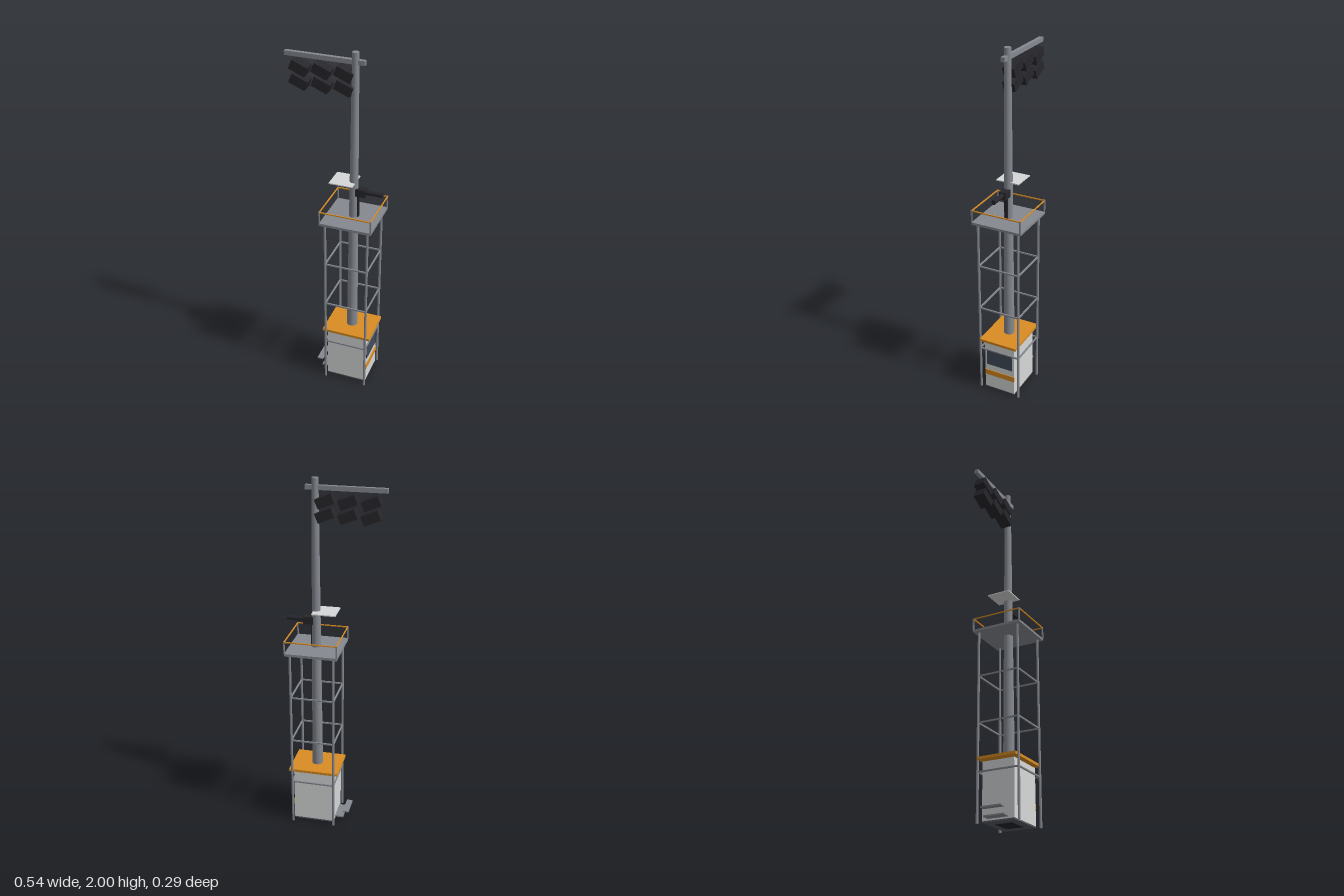
import * as THREE from 'three';

const mat = (name, color) => {
  const m = new THREE.MeshStandardMaterial({ color });
  m.name = name;
  return m;
};

export function createModel() {
  const metal = mat('grey metal', 0x858990);
  const orange = mat('safety orange', 0xd98c22);
  const white = mat('cabinet light grey', 0xd6d7d8);
  const black = mat('lamp black', 0x26262b);
  const glass = mat('window slate', 0x414c58);
  const dark = mat('base dark grey', 0x55585e);

  const model = new THREE.Group();
  model.name = 'lightTower';
  const CX = 0.105; // x of the tower axis

  const add = (name, geo, material, x, y, z, parent = model) => {
    const m = new THREE.Mesh(geo, material);
    m.name = name;
    m.position.set(x, y, z);
    parent.add(m);
    return m;
  };
  // box given by its extents
  const box = (name, material, x0, x1, y0, y1, z0, z1) =>
    add(name, new THREE.BoxGeometry(x1 - x0, y1 - y0, z1 - z0), material,
      (x0 + x1) / 2, (y0 + y1) / 2, (z0 + z1) / 2);
  // square ring of four bars around the axis
  const ring = (name, material, half, y, t) => {
    for (const s of [-1, 1]) {
      add(name, new THREE.BoxGeometry(half * 2, t, t), material, CX, y, s * half);
      add(name, new THREE.BoxGeometry(t, t, half * 2), material, CX + s * half, y, 0);
    }
  };

  // equipment cabinet with base, window and stripe on the +x face
  box('cabinetBase', dark, -0.01, 0.22, 0.002, 0.01, -0.093, 0.093);
  box('basePlate', black, CX - 0.06, CX + 0.06, 0, 0.004, -0.05, 0.05);
  box('cabinet', white, -0.012, 0.222, 0.01, 0.32, -0.093, 0.093);
  box('window', glass, 0.22, 0.226, 0.168, 0.262, -0.08, 0.08);
  box('stripe', orange, 0.22, 0.226, 0.095, 0.128, -0.093, 0.093);
  box('cabinetRoof', orange, CX - 0.141, CX + 0.141, 0.328, 0.343, -0.113, 0.113);

  // steps beside the cabinet
  box('lowerStep', metal, -0.06, -0.012, 0.019, 0.027, -0.06, 0.06);
  box('upperStep', metal, -0.092, -0.058, 0.058, 0.066, -0.06, 0.06);

  // frame: four legs and the brace rings
  for (const sx of [-1, 1]) for (const sz of [-1, 1]) {
    add('leg', new THREE.CylinderGeometry(0.007, 0.007, 1.07, 10), metal,
      CX + sx * 0.12, 0.535, sz * 0.12);
    add('railPost', new THREE.BoxGeometry(0.007, 0.075, 0.007), metal,
      CX + sx * 0.143, 1.1105, sz * 0.143);
  }
  for (const y of [0.268, 0.537, 0.804]) ring('brace', metal, 0.12, y, 0.008);

  // platform with guard rail
  box('platform', metal, CX - 0.145, CX + 0.145, 1.063, 1.077, -0.145, 0.145);
  ring('guardRail', orange, 0.143, 1.144, 0.006);

  // tapered mast
  add('mast', new THREE.CylinderGeometry(0.018, 0.031, 1.68, 24), metal, CX, 1.16, 0);

  // camera on its bracket
  box('cameraBracket', black, 0.115, 0.134, 1.077, 1.21, -0.01, 0.01);
  box('cameraHousing', black, 0.118, 0.175, 1.207, 1.25, -0.02, 0.02);
  add('cameraBarrel', new THREE.CylinderGeometry(0.0125, 0.0125, 0.095, 20), black,
    0.2195, 1.232, 0).rotation.z = Math.PI / 2;

  // small flat panel beside the mast
  box('panel', white, -0.014, 0.117, 1.281, 1.287, -0.066, 0.066);

  // cross arm with six tilted lamps
  box('crossArm', metal, -0.27, 0.157, 1.938, 1.962, -0.011, 0.011);
  for (const x of [-0.189, -0.069, 0.051]) for (const y of [1.885, 1.812]) {
    add('lamp', new THREE.BoxGeometry(0.093, 0.052, 0.066), black, x, y, 0)
      .rotation.z = -0.39;
  }

  return model;
}
